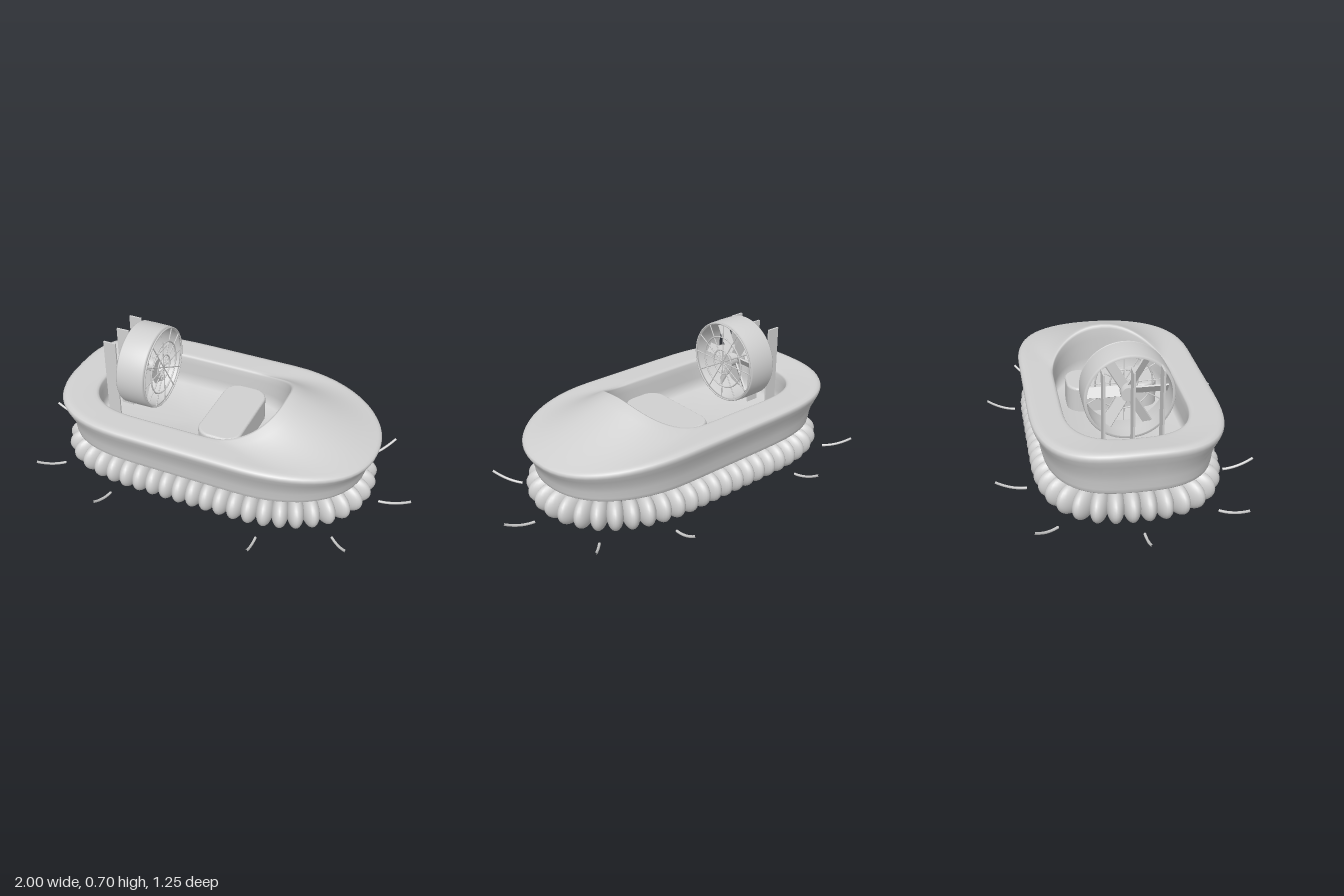
import * as THREE from 'three';

const grey = new THREE.MeshStandardMaterial({ color: 0xd0d0d0 });
grey.name = 'plain grey';

const HULL = { cl: -0.25, cr: 0.22, ll: 0.56, lr: 0.587, w: 0.449, nl: 2.9, nr: 2.2 };
const COCKPIT = { cl: -0.3, cr: 0, ll: 0.337, lr: 0.33, w: 0.29, nl: 2.8, nr: 2.5 };
const BOTTOM = 0.167, FLOOR = 0.2;

// Plan outline: two half superellipses joined by straight sides, shrunk by d
function outline(o, d) {
  const pts = [];
  const arc = (from, cx, len, n) => {
    for (let i = 0; i <= 32; i++) {
      const a = from + (Math.PI * i) / 32, c = Math.cos(a), s = Math.sin(a);
      const p = (v) => (Math.abs(v) < 1e-6 ? 0 : Math.sign(v) * Math.abs(v) ** (2 / n));
      pts.push([cx + (len - d) * p(c), (o.w - d) * p(s)]);
    }
  };
  const side = (sign, from, to) => {
    for (let i = 1; i < 7; i++) pts.push([from + ((to - from) * i) / 7, sign * (o.w - d)]);
  };
  arc(-Math.PI / 2, o.cr, o.lr, o.nr);
  side(1, o.cr, o.cl);
  arc(Math.PI / 2, o.cl, o.ll, o.nl);
  side(-1, o.cl, o.cr);
  return pts;
}

// Skin over a stack of closed rings
function loft(rings) {
  const n = rings[0].length, index = [];
  for (let r = 0; r < rings.length - 1; r++) {
    for (let j = 0; j < n; j++) {
      const a = r * n + j, b = r * n + ((j + 1) % n);
      index.push(a, a + n, b, b, a + n, b + n);
    }
  }
  const g = new THREE.BufferGeometry();
  g.setAttribute('position', new THREE.Float32BufferAttribute(rings.flat(2), 3));
  g.setIndex(index);
  g.computeVertexNormals();
  return g;
}

// Rim dips towards the bow and lifts a little at the middle of the stern
function rimY(x, z) {
  if (x > 0.2) return 0.375 - 0.055 * ((x - 0.2) / 0.6) ** 2;
  const lift = x < -0.4 ? 0.02 * ((-0.4 - x) / 0.4) : 0;
  return 0.375 + lift * Math.max(0, 1 - (z / 0.4) ** 2);
}

// Cockpit edge rises to a cowl at its front
function edgeY(x, z) {
  const u = Math.min(1, Math.abs(z) / COCKPIT.w);
  return 0.377 + (x > 0 ? 0.117 * (1 - u * u) : 0);
}

function hullGeometry() {
  const rings = [];
  rings.push(outline(HULL, 0).map(() => [0, BOTTOM, 0]));
  // flared outside: inset, height as a share of the rim
  for (const [d, f] of [[0.058, 0], [0.052, 0.03], [0.048, 0.12], [0.044, 0.3], [0.034, 0.5],
    [0.016, 0.7], [0.004, 0.84], [0, 0.92], [0.005, 0.975], [0.018, 1]]) {
    rings.push(outline(HULL, d).map(([x, z]) => [x, BOTTOM + (rimY(x, z) - BOTTOM) * f, z]));
  }
  // deck blended from the rim to the cockpit edge
  const outer = outline(HULL, 0.03), inner = outline(COCKPIT, -0.015);
  for (let k = 0; k <= 8; k++) {
    const t = k / 8;
    rings.push(outer.map(([x, z], j) => {
      const [ix, iz] = inner[j], y0 = rimY(x, z) + 0.002;
      return [x + (ix - x) * t, y0 + (edgeY(ix, iz) - y0) * t, z + (iz - z) * t];
    }));
  }
  // cockpit lip, upright walls and flat floor
  for (const [d, f] of [[-0.005, 0.98], [0, 0.93], [0.002, 0.75], [0.004, 0.4], [0.006, 0]]) {
    rings.push(outline(COCKPIT, d).map(([x, z]) => [x, FLOOR + (edgeY(x, z) - FLOOR) * f, z]));
  }
  rings.push(inner.map(() => [-0.15, FLOOR, 0]));
  return loft(rings);
}

function add(parent, name, geometry, x = 0, y = 0, z = 0) {
  const m = new THREE.Mesh(geometry, grey);
  m.name = name;
  m.position.set(x, y, z);
  parent.add(m);
  return m;
}

function group(parent, name) {
  const g = new THREE.Group();
  g.name = name;
  parent.add(g);
  return g;
}

export function createModel() {
  const model = new THREE.Group();
  model.name = 'hovercraft';
  add(model, 'hull', hullGeometry());

  // Skirt of bulging pods, evenly spaced from the tip of the bow, deeper at the ends
  const skirt = group(model, 'skirt');
  const path = new THREE.CurvePath();
  const ring = outline(HULL, 0.085).map(([x, z]) => new THREE.Vector3(x, 0.081, z));
  const line = [...ring.slice(16), ...ring.slice(0, 16)];
  line.forEach((p, i) => {
    const q = line[(i + 1) % line.length];
    if (p.distanceTo(q) > 1e-5) path.add(new THREE.LineCurve3(p, q));
  });
  const pod = new THREE.SphereGeometry(1, 24, 16), count = 52;
  for (let i = 0; i < count; i++) {
    const t = (i + 0.5) / count, p = path.getPointAt(t);
    const along = path.getPointAt((t + 0.005) % 1).sub(path.getPointAt((t + 0.995) % 1)).normalize();
    const extra = 0.016 * along.z ** 2;
    const m = add(skirt, 'skirtPod', pod, p.x - along.z * extra, p.y, p.z + along.x * extra);
    m.scale.set(0.042, 0.077, 0.085 + extra);
    m.rotation.y = Math.atan2(-along.z, along.x);
  }

  // Seat with rounded corners
  const s = new THREE.Shape(), hx = 0.1, hz = 0.215, r = 0.065;
  s.absarc(hx - r, hz - r, r, 0, Math.PI / 2);
  s.absarc(r - hx, hz - r, r, Math.PI / 2, Math.PI);
  s.absarc(r - hx, r - hz, r, Math.PI, Math.PI * 1.5);
  s.absarc(hx - r, r - hz, r, Math.PI * 1.5, Math.PI * 2);
  const seat = new THREE.ExtrudeGeometry(s, { depth: 0.115, bevelSize: 0.012, bevelThickness: 0.012, bevelSegments: 4, curveSegments: 10 });
  add(model, 'seat', seat.rotateX(-Math.PI / 2), 0.055, FLOOR, 0);

  // Fan, its axis along x
  const fan = group(model, 'fan');
  fan.position.set(-0.405, 0.486, 0);
  const duct = [[0.196, -0.075], [0.207, -0.075], [0.211, -0.068], [0.212, 0], [0.211, 0.068], [0.207, 0.075],
    [0.196, 0.075], [0.198, 0], [0.196, -0.075]].map(([x, y]) => new THREE.Vector2(x, y));
  add(fan, 'duct', new THREE.LatheGeometry(duct, 64).rotateZ(-Math.PI / 2));
  add(fan, 'hub', new THREE.CylinderGeometry(0.035, 0.035, 0.09, 24).rotateZ(Math.PI / 2));
  for (let i = 0; i < 6; i++) {
    const arm = group(fan, 'bladeArm');
    arm.rotation.x = (i * Math.PI) / 3 + Math.PI / 2;
    add(arm, 'blade', new THREE.BoxGeometry(0.008, 0.165, 0.05), 0, 0.108, 0).rotation.y = 0.6;
  }

  // Wire guard in front of the fan
  const guard = group(fan, 'guard');
  guard.position.x = 0.082;
  for (const radius of [0.205, 0.135, 0.065]) {
    add(guard, 'guardRing', new THREE.TorusGeometry(radius, 0.004, 6, 48).rotateY(Math.PI / 2));
  }
  for (let i = 0; i < 12; i++) {
    const a = (i * Math.PI) / 6;
    add(guard, 'guardSpoke', new THREE.CylinderGeometry(0.003, 0.003, 0.2, 6), 0, 0.1 * Math.cos(a), 0.1 * Math.sin(a)).rotation.x = a;
  }

  // Upright rudders behind the fan
  for (const z of [-0.133, 0, 0.133]) {
    add(model, 'rudder', new THREE.BoxGeometry(0.066, 0.455, 0.009), -0.545, 0.4275, z);
  }

  // Curved spray whiskers around the skirt: inner x, z and outer x, z
  const spray = group(model, 'spray');
  const whisker = (x0, z0, x1, z1) => {
    const curve = new THREE.QuadraticBezierCurve3(
      new THREE.Vector3(x0, 0.008, z0),
      new THREE.Vector3(x0 + (x1 - x0) * 0.5, 0.012, z0 + (z1 - z0) * 0.5),
      new THREE.Vector3(x1, 0.064, z1));
    add(spray, 'whisker', new THREE.TubeGeometry(curve, 12, 0.0065, 8));
  };
  for (const sx of [-1, 1]) {
    whisker(sx * 0.84, 0, sx * 0.998, 0);
    for (const sz of [-1, 1]) {
      const shift = sx > 0 ? -0.022 : 0, shiftZ = sx > 0 ? -0.035 : 0;
      whisker(sx * (0.728 + shift), sz * (0.365 + shiftZ), sx * (0.828 + shift), sz * (0.478 + shiftZ));
      whisker(sx * (0.4 + shift), sz * 0.475, sx * (0.412 + shift), sz * 0.622);
    }
  }
  return model;
}
